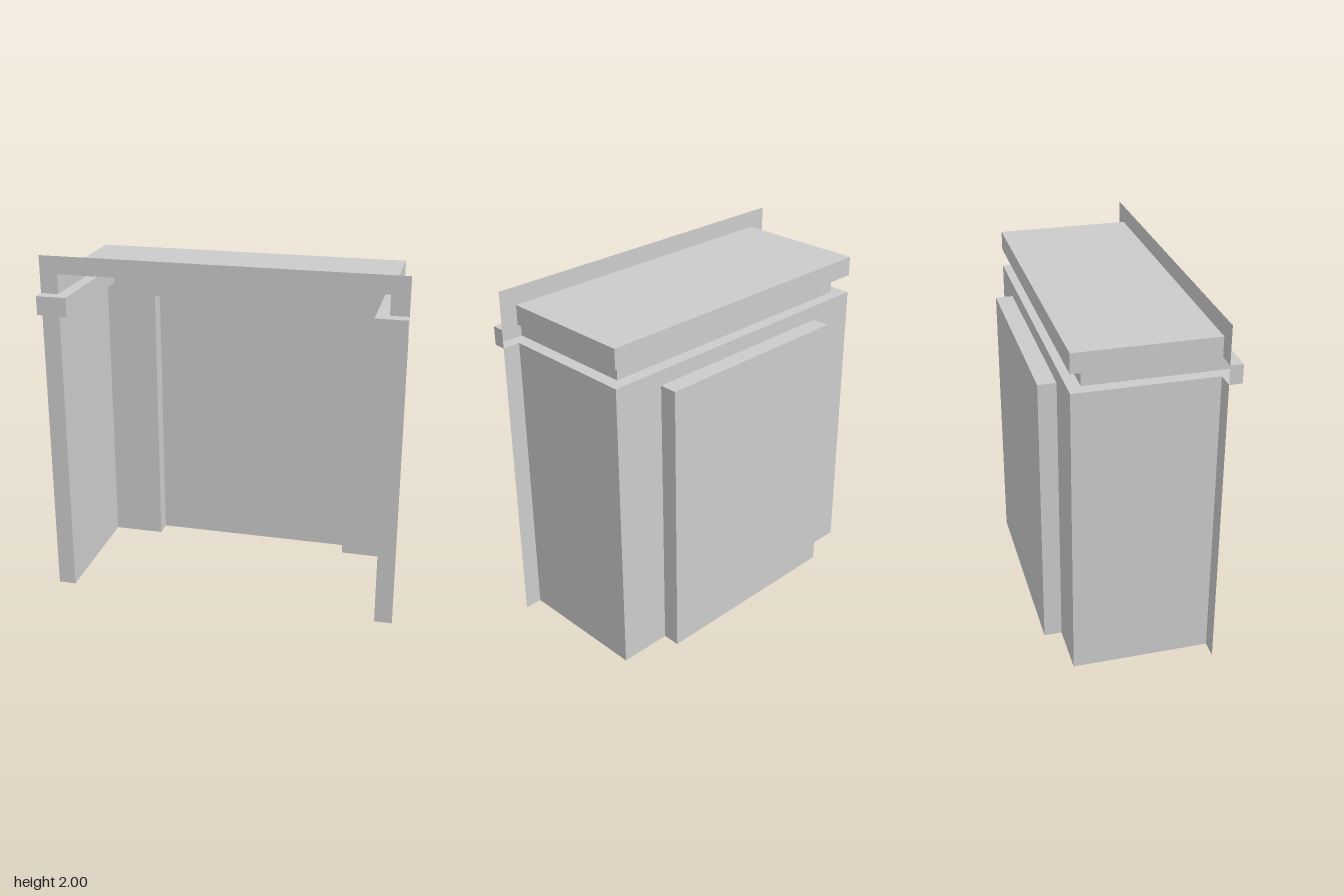
import * as THREE from 'three';

const material = new THREE.MeshStandardMaterial({ color: 0xcccccc, flatShading: true, side: THREE.DoubleSide });

// Completes a plan path of [x, z] points with its mirror image across x = 0
const mirrored = (half) => [...half, ...half.map(([x, z]) => [-x, z]).reverse()];

// Upright sheet that follows a plan path between two heights
function wall(name, path, y0, y1) {
  const positions = [];
  for (let i = 0; i < path.length - 1; i++) {
    const [ax, az] = path[i];
    const [bx, bz] = path[i + 1];
    positions.push(ax, y0, az, bx, y0, bz, bx, y1, bz);
    positions.push(ax, y0, az, bx, y1, bz, ax, y1, az);
  }
  const geometry = new THREE.BufferGeometry();
  geometry.setAttribute('position', new THREE.Float32BufferAttribute(positions, 3));
  geometry.computeVertexNormals();
  const mesh = new THREE.Mesh(geometry, material);
  mesh.name = name;
  return mesh;
}

// Level sheet bounded by a plan outline, facing up or down
function level(name, outline, y, up = true) {
  const s = up ? -1 : 1;
  const shape = new THREE.Shape(outline.map(([x, z]) => new THREE.Vector2(x, s * z)));
  const geometry = new THREE.ShapeGeometry(shape).rotateX(s * Math.PI / 2).translate(0, y, 0);
  const mesh = new THREE.Mesh(geometry, material);
  mesh.name = name;
  return mesh;
}

export function createModel() {
  const group = new THREE.Group();
  group.name = 'openShell';

  const front = 0.4, back = -0.37, recessBack = -0.47;
  const flangeX = 1, sideX = 0.9, recessX = 0.6, inset = 0.07;
  const recessTop = 1.6, grooveBottom = 1.685, grooveTop = 1.79, roofY = 1.9, top = 2;

  // Plan paths: front flange, side and back of the shell
  const body = mirrored([[flangeX, front], [sideX, front], [sideX, back]]);
  const bodyWithRecess = mirrored([
    [flangeX, front], [sideX, front], [sideX, back], [recessX, back], [recessX, recessBack],
  ]);
  // The groove is the same path pushed inward, standing proud of the flange
  const groove = mirrored([
    [flangeX, front], [flangeX, front + inset],
    [sideX - inset, front + inset], [sideX - inset, back + inset],
  ]);

  // Main walls, with the recess bulging out of the back
  group.add(wall('lowerWalls', bodyWithRecess, 0, recessTop));
  group.add(level('recessTop', mirrored([[recessX, back], [recessX, recessBack]]), recessTop));
  group.add(wall('wallsBelowGroove', body, recessTop, grooveBottom));

  // Groove running round the shell and its two ledges
  const ledge = [...body, ...groove.slice(1, -1).reverse()];
  group.add(wall('grooveWalls', groove, grooveBottom, grooveTop));
  group.add(level('grooveLowerLedge', ledge, grooveBottom, true));
  group.add(level('grooveUpperLedge', ledge, grooveTop, false));

  // Upper band, roof and top flange
  group.add(wall('upperWalls', body, grooveTop, roofY));
  group.add(level('roof', mirrored([[sideX, front], [sideX, back]]), roofY));
  group.add(wall('topFlange', mirrored([[flangeX, front]]), roofY, top));

  return group;
}
